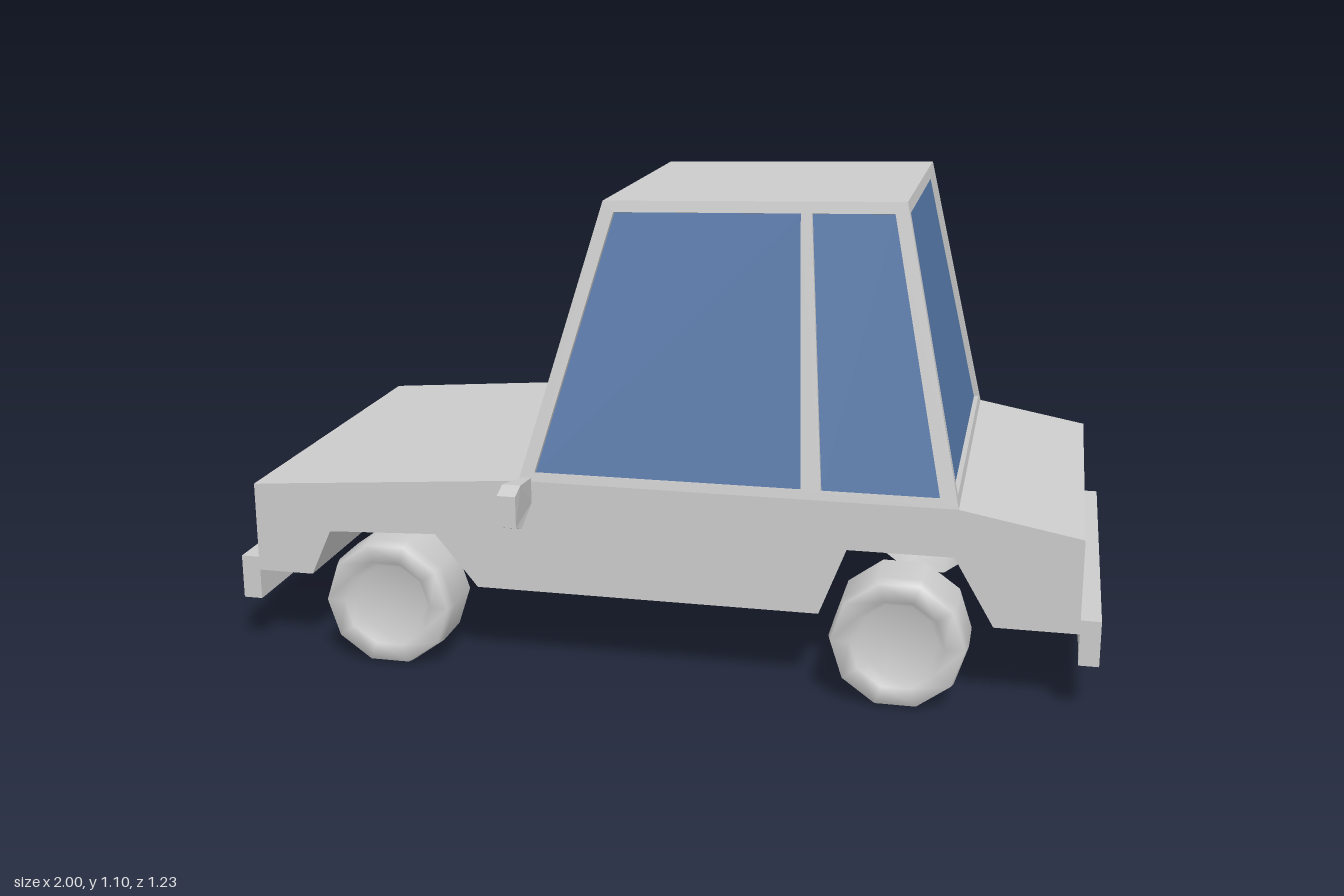
import * as THREE from 'three';

const grey = new THREE.MeshStandardMaterial({ color: 0xcccccc });
const greyOpen = new THREE.MeshStandardMaterial({ color: 0xcccccc, side: THREE.DoubleSide });
const blue = new THREE.MeshStandardMaterial({ color: 0x5577a8 });

const HALF = 0.465; // half width of the body
const FULL = [[0, 0], [1, 0], [1, 1], [0, 1]];

const toPoints = (list) => list.map(([x, y]) => new THREE.Vector2(x, y));

function addMesh(parent, name, geometry, material = grey) {
  const mesh = new THREE.Mesh(geometry, material);
  mesh.name = name;
  parent.add(mesh);
  return mesh;
}

// Thin plate laid on a quad (corners anticlockwise from bottom left, seen from outside).
// Outline and holes are given as fractions of the quad.
function plate(corners, outline, holes, sunk, depth) {
  const [bl, br, tr, tl] = corners.map((c) => new THREE.Vector3(...c));
  const normal = br.clone().sub(bl).cross(tl.clone().sub(bl)).normalize();
  const shape = new THREE.Shape(toPoints(outline));
  shape.holes = holes.map((h) => new THREE.Path(toPoints(h)));
  const geometry = new THREE.ExtrudeGeometry(shape, { depth, bevelEnabled: false });
  const pos = geometry.attributes.position;
  for (let i = 0; i < pos.count; i++) {
    const u = pos.getX(i), v = pos.getY(i), out = pos.getZ(i) - depth - sunk;
    const p = bl.clone().lerp(br, u).lerp(tl.clone().lerp(tr, u), v).addScaledVector(normal, out);
    pos.setXYZ(i, p.x, p.y, p.z);
  }
  geometry.computeVertexNormals();
  return geometry;
}

// A framed side with sunken panels in its openings
function framedSide(parent, name, corners, openings, paneName, paneMaterial) {
  addMesh(parent, name, plate(corners, FULL, openings, 0, 0.02));
  for (const o of openings) addMesh(parent, paneName, plate(corners, o, [], 0.012, 0.006), paneMaterial);
}

function extrudeCentred(points, width) {
  const geometry = new THREE.ExtrudeGeometry(new THREE.Shape(toPoints(points)), { depth: width, bevelEnabled: false });
  return geometry.translate(0, 0, -width / 2);
}

function buildBody(car) {
  // Side profile with both wheel arches
  const profile = [
    [-0.94, 0.195], [-0.82, 0.195], [-0.77, 0.305], [-0.51, 0.317], [-0.41, 0.195],
    [0.385, 0.195], [0.445, 0.35], [0.68, 0.35], [0.77, 0.195], [0.955, 0.195],
    [0.955, 0.41], [0.685, 0.46], [-0.305, 0.46], [-0.94, 0.411],
  ];
  addMesh(car, 'body', extrudeCentred(profile, HALF * 2));

  // Nose with a sunken grille
  const x = -0.955;
  const nose = [[x, 0.195, -HALF], [x, 0.195, HALF], [x, 0.41, HALF], [x, 0.41, -HALF]];
  const opening = [[0.17, 0.36], [0.83, 0.36], [0.83, 0.74], [0.17, 0.74]];
  framedSide(car, 'nose', nose, [opening], 'grille', grey);

  for (const [name, side] of [['frontBumper', -1], ['rearBumper', 1]]) {
    addMesh(car, name, new THREE.BoxGeometry(0.045, 0.105, 0.925)).position.set(side * 0.9775, 0.174, 0);
  }
}

function buildCabin(car) {
  const cabin = new THREE.Group();
  cabin.name = 'cabin';
  car.add(cabin);

  // Corner positions: f = front, r = rear, b = base, t = top
  const TOP = 0.348;
  const fb = (s) => [-0.305, 0.46, s * HALF];
  const rb = (s) => [0.685, 0.46, s * HALF];
  const ft = (s) => [-0.13, 1.087, s * TOP];
  const rt = (s) => [0.545, 1.105, s * TOP];

  const sideWindows = [
    [[0.032, 0.032], [0.652, 0.032], [0.657, 0.96], [0.047, 0.96]],
    [[0.698, 0.032], [0.963, 0.032], [0.955, 0.96], [0.693, 0.96]],
  ];
  const mirrored = sideWindows.map((w) => w.map(([u, v]) => [1 - u, v]));
  const endWindow = [[[0.033, 0.032], [0.967, 0.032], [0.969, 0.96], [0.031, 0.96]]];

  framedSide(cabin, 'sideFrame', [fb(1), rb(1), rt(1), ft(1)], sideWindows, 'sideWindow', blue);
  framedSide(cabin, 'sideFrame', [rb(-1), fb(-1), ft(-1), rt(-1)], mirrored, 'sideWindow', blue);
  framedSide(cabin, 'windscreenFrame', [fb(-1), fb(1), ft(1), ft(-1)], endWindow, 'windscreen', blue);
  framedSide(cabin, 'rearFrame', [rb(1), rb(-1), rt(-1), rt(1)], endWindow, 'rearWindow', blue);
  addMesh(cabin, 'roof', plate([ft(1), rt(1), rt(-1), ft(-1)], FULL, [], 0, 0.015));
}

function buildMirrors(car) {
  const outline = [[0.46, 0.41], [0.575, 0.385], [0.615, 0.4], [0.615, 0.472], [0.575, 0.486], [0.46, 0.468]];
  const geometry = extrudeCentred(outline, 0.042);
  // Narrow the arm where it meets the body
  const pos = geometry.attributes.position;
  for (let i = 0; i < pos.count; i++) if (pos.getX(i) < 0.5) pos.setZ(i, pos.getZ(i) * 0.5);
  geometry.computeVertexNormals();
  geometry.rotateY(-Math.PI / 2);
  for (const side of [1, -1]) {
    const mirror = addMesh(car, 'doorMirror', geometry);
    mirror.position.x = -0.286;
    if (side < 0) {
      mirror.rotation.y = Math.PI;
    }
  }
}

function buildWheels(car) {
  // Ten-sided tyre with a sunken hub, hollow on the inner side
  const profile = [[0.155, 0.365], [0.155, 0.475], [0.148, 0.503], [0.105, 0.503], [0.087, 0.475], [0, 0.475]];
  const geometry = new THREE.LatheGeometry(toPoints(profile), 10);
  geometry.rotateY(Math.PI / 2).rotateX(Math.PI / 2);
  for (const x of [-0.62, 0.565]) {
    for (const side of [1, -1]) {
      const wheel = addMesh(car, x < 0 ? 'frontWheel' : 'rearWheel', geometry, greyOpen);
      wheel.position.set(x, 0.15, 0);
      if (side < 0) wheel.rotation.y = Math.PI;
    }
  }
}

export function createModel() {
  const car = new THREE.Group();
  car.name = 'car';
  buildBody(car);
  buildCabin(car);
  buildMirrors(car);
  buildWheels(car);
  return car;
}
